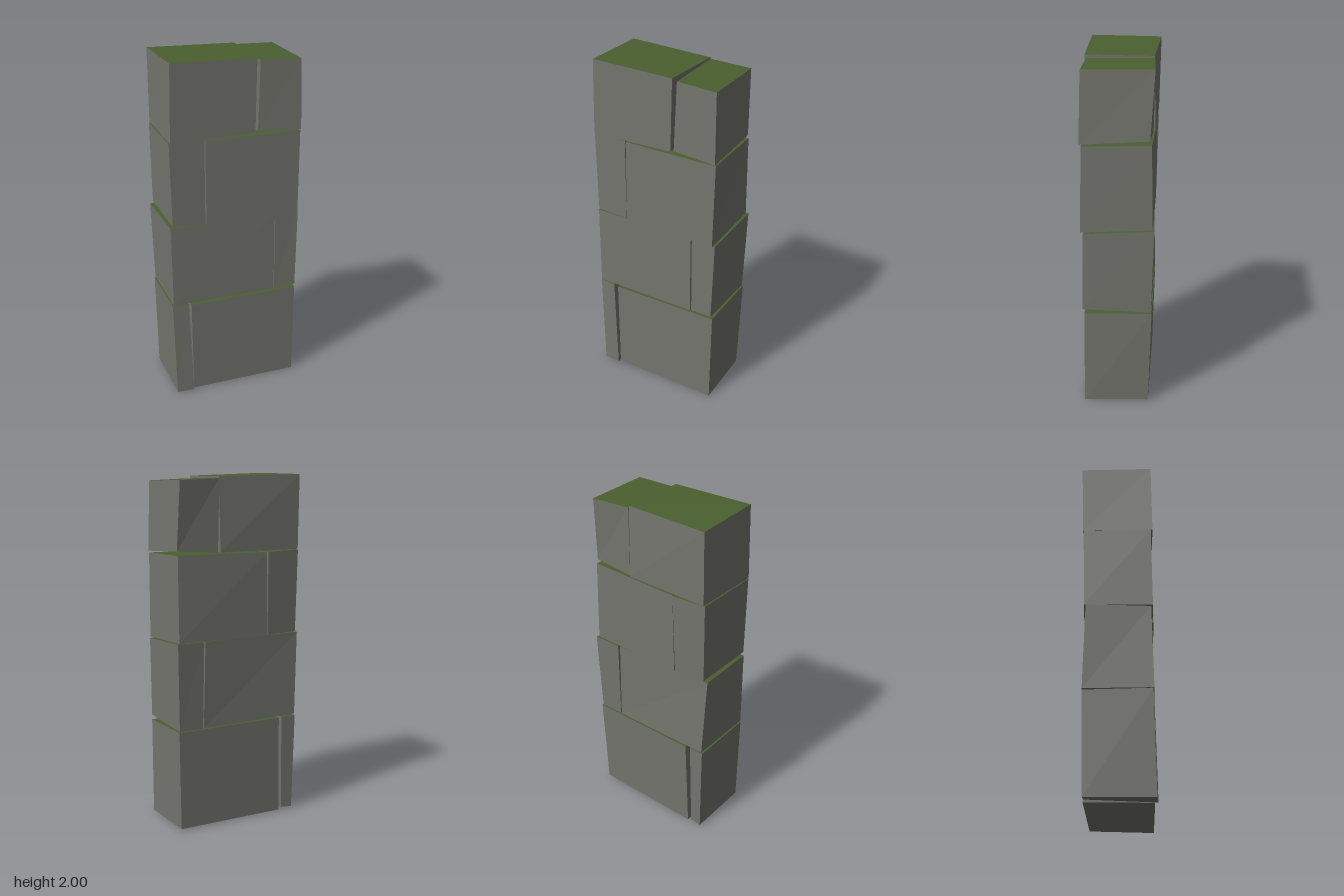
import * as THREE from 'three';

// Each ring of corners runs: front -x, front +x, back +x, back -x
function hewnBlock(name, bottom, top, materials) {
  const c = [...bottom, ...top];
  const sides = [[0, 1, 5, 4], [1, 2, 6, 5], [2, 3, 7, 6], [3, 0, 4, 7], [3, 2, 1, 0]];
  const faces = [...sides, [4, 5, 6, 7]]; // mossy top comes last
  const positions = [];
  for (const [a, b, d, e] of faces) {
    for (const i of [a, b, d, a, d, e]) positions.push(...c[i]);
  }
  const geometry = new THREE.BufferGeometry();
  geometry.setAttribute('position', new THREE.Float32BufferAttribute(positions, 3));
  geometry.computeVertexNormals();
  geometry.addGroup(0, 30, 0);
  geometry.addGroup(30, 6, 1);
  const mesh = new THREE.Mesh(geometry, materials);
  mesh.name = name;
  return mesh;
}

export function createModel() {
  const stone = new THREE.MeshStandardMaterial({ color: 0x75756f, flatShading: true });
  stone.name = 'grey stone';
  const moss = new THREE.MeshStandardMaterial({ color: 0x4a6030, flatShading: true });
  moss.name = 'green moss';
  const materials = [stone, moss];

  const wall = new THREE.Group();
  wall.name = 'stoneWall';
  const add = (name, bottom, top) => wall.add(hewnBlock(name, bottom, top, materials));

  // First course: narrow and wide block
  add('firstCourseNarrowBlock',
    [[-0.37, 0.005, 0.2], [-0.27, 0.005, 0.207], [-0.3, 0.015, -0.175], [-0.37, 0.01, -0.18]],
    [[-0.385, 0.59, 0.19], [-0.29, 0.585, 0.195], [-0.29, 0.585, -0.185], [-0.38, 0.585, -0.19]]);
  add('firstCourseWideBlock',
    [[-0.265, 0.005, 0.19], [0.375, 0, 0.19], [0.37, 0.01, -0.18], [-0.28, 0.005, -0.18]],
    [[-0.27, 0.57, 0.185], [0.38, 0.57, 0.185], [0.385, 0.585, -0.195], [-0.265, 0.585, -0.195]]);

  // Second course
  add('secondCourseWideBlock',
    [[-0.38, 0.595, 0.195], [0.24, 0.59, 0.195], [0.23, 0.59, -0.19], [-0.375, 0.595, -0.19]],
    [[-0.385, 1.075, 0.185], [0.235, 1.065, 0.19], [0.22, 1.085, -0.195], [-0.395, 1.085, -0.175]]);
  add('secondCourseNarrowBlock',
    [[0.245, 0.59, 0.19], [0.375, 0.595, 0.195], [0.38, 0.59, -0.19], [0.235, 0.59, -0.19]],
    [[0.24, 1.065, 0.185], [0.385, 1.06, 0.185], [0.393, 1.088, -0.205], [0.23, 1.085, -0.2]]);

  // Third course
  add('thirdCourseNarrowBlock',
    [[-0.375, 1.09, 0.195], [-0.185, 1.08, 0.195], [-0.185, 1.09, -0.195], [-0.375, 1.095, -0.185]],
    [[-0.385, 1.57, 0.19], [-0.185, 1.565, 0.19], [-0.175, 1.565, -0.205], [-0.38, 1.57, -0.195]]);
  add('thirdCourseWideBlock',
    [[-0.18, 1.075, 0.2], [0.375, 1.065, 0.2], [0.38, 1.09, -0.195], [-0.18, 1.085, -0.195]],
    [[-0.18, 1.56, 0.19], [0.38, 1.555, 0.19], [0.38, 1.567, -0.185], [-0.17, 1.565, -0.2]]);

  // Fourth course
  add('fourthCourseWideBlock',
    [[-0.38, 1.57, 0.2], [0.108, 1.575, 0.195], [0.125, 1.575, -0.195], [-0.375, 1.575, -0.2]],
    [[-0.372, 2, 0.195], [0.115, 1.985, 0.19], [0.13, 1.985, -0.185], [-0.375, 1.995, -0.208]]);
  add('fourthCourseNarrowBlock',
    [[0.125, 1.58, 0.19], [0.38, 1.565, 0.2], [0.38, 1.59, -0.175], [0.135, 1.575, -0.185]],
    [[0.138, 1.97, 0.18], [0.373, 1.96, 0.188], [0.37, 1.965, -0.198], [0.13, 1.975, -0.19]]);

  return wall;
}
